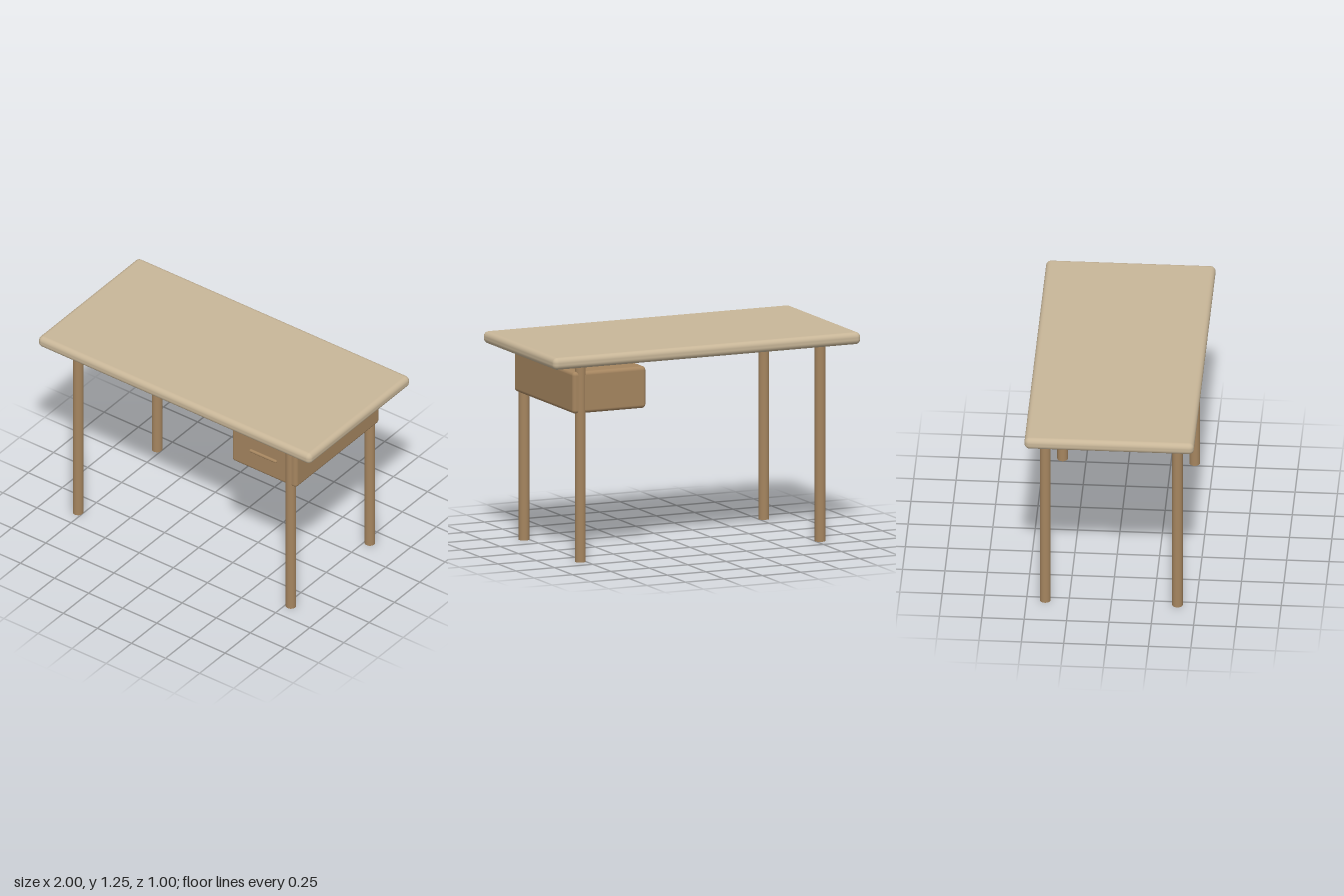
import * as THREE from 'three';
import { RoundedBoxGeometry } from 'three/addons/geometries/RoundedBoxGeometry.js';

export function createModel() {
  const desk = new THREE.Group();
  desk.name = 'desk';

  const paleWood = new THREE.MeshStandardMaterial({ color: 0xc8b698 });
  paleWood.name = 'paleWood';
  const brownWood = new THREE.MeshStandardMaterial({ color: 0xa5855f });
  brownWood.name = 'brownWood';

  const add = (name, geometry, material, x, y, z) => {
    const mesh = new THREE.Mesh(geometry, material);
    mesh.name = name;
    mesh.position.set(x, y, z);
    desk.add(mesh);
    return mesh;
  };

  // Table top with softly rounded edges
  add('tableTop', new RoundedBoxGeometry(2, 0.072, 1, 5, 0.03), paleWood, 0, 1.214, 0);

  // Four round legs, reaching just into the top
  const legHeight = 1.185;
  const legGeometry = new THREE.CylinderGeometry(0.0315, 0.0315, legHeight, 32);
  for (const [side, x] of [['Left', 0.78], ['Right', -0.78]]) {
    for (const [end, z] of [['front', 0.39], ['back', -0.39]]) {
      add(`${end}${side}Leg`, legGeometry, brownWood, x, legHeight / 2, z);
    }
  }

  // Drawer box hung between the left legs
  add('drawer', new RoundedBoxGeometry(0.476, 0.25, 0.826, 5, 0.022), brownWood, 0.598, 1.015, 0);

  // Slim rounded bar handle on the drawer front
  const handle = add('drawerHandle', new THREE.CapsuleGeometry(0.01, 0.18, 6, 16), brownWood, 0.598, 1.03, 0.418);
  handle.rotation.z = Math.PI / 2;

  return desk;
}
